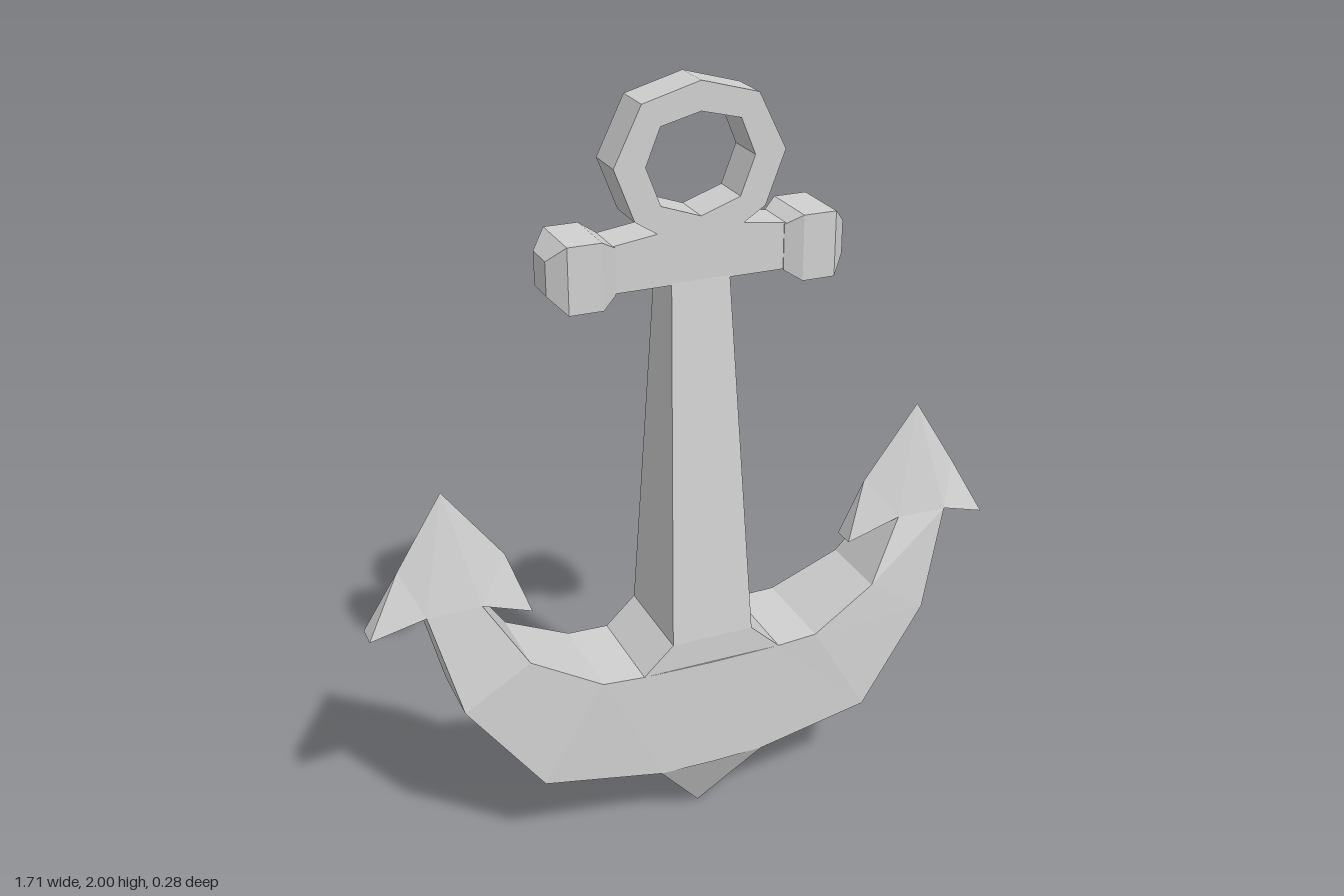
import * as THREE from 'three';

const iron = new THREE.MeshStandardMaterial({ color: 0xd0d0d0, flatShading: true });
iron.name = 'iron grey';

// Mesh from a list of polygons (each a convex loop, counter-clockwise from outside)
function polyMesh(name, polys) {
  const pos = [];
  for (const p of polys)
    for (let i = 1; i < p.length - 1; i++) pos.push(...p[0], ...p[i], ...p[i + 1]);
  const geo = new THREE.BufferGeometry();
  geo.setAttribute('position', new THREE.Float32BufferAttribute(pos, 3));
  geo.computeVertexNormals();
  const mesh = new THREE.Mesh(geo, iron);
  mesh.name = name;
  return mesh;
}

// Skin four-cornered sections and cap both ends
function loft(name, sections) {
  const polys = [[...sections[0]].reverse(), sections[sections.length - 1]];
  for (let s = 0; s < sections.length - 1; s++) {
    const a = sections[s], b = sections[s + 1];
    for (let i = 0; i < 4; i++) {
      const j = (i + 1) % 4;
      polys.push([a[i], a[j], b[j]], [a[i], b[j], b[i]]);
    }
  }
  return polyMesh(name, polys);
}

// Rectangle at height y with half width x and half depth z
const level = ([y, x, z]) => [[-x, y, z], [x, y, z], [x, y, -z], [-x, y, -z]];
// Section spanning an outer (lower) and an inner (upper) point, each with a half depth
const slice = ([ox, oy, od, ix, iy, id]) => [[ox, oy, -od], [ix, iy, -id], [ix, iy, id], [ox, oy, od]];

// Ring and crossbar share one flat outline
function makeHead() {
  const half = [[0, 2], [0.145, 1.96], [0.215, 1.82], [0.165, 1.69], [0.11, 1.655], [0.22, 1.64], [0.22, 1.525]];
  const hole = [[0, 1.93], [0.1, 1.905], [0.137, 1.815], [0.1, 1.72], [0, 1.685]];
  const mirrored = (pts) => [...pts, ...[...pts].reverse().filter((p) => p[0] > 0).map(([x, y]) => [-x, y])]
    .map(([x, y]) => new THREE.Vector2(x, y));
  const shape = new THREE.Shape(mirrored(half));
  // The hole runs against the outline so that its walls face inwards
  shape.holes.push(new THREE.Path(mirrored(hole).reverse()));
  const geo = new THREE.ExtrudeGeometry(shape, { depth: 0.11, bevelEnabled: false }).translate(0, 0, -0.055);
  const mesh = new THREE.Mesh(geo, iron);
  mesh.name = 'ringAndCrossbar';
  return mesh;
}

// Barbed arrowhead that continues the end of the arm to a sharp tip
function makeFluke() {
  const rim = [[0.72, 0.77, 0.058], [0.857, 0.72, 0.03], [0.77, 0.88, 0], [0.65, 1.07, 0],
    [0.5, 0.87, 0], [0.445, 0.71, 0.03], [0.58, 0.77, 0.055]];
  const back = ([x, y, z]) => [x, y, -z];
  const polys = [];
  for (const face of [[0, 1, 2], [0, 2, 3], [6, 0, 3], [6, 3, 4], [6, 4, 5]]) {
    const front = face.map((i) => rim[i]);
    polys.push(front, front.map(back).reverse());
  }
  // Undersides of the two barbs
  for (const i of [0, 1, 4, 5]) polys.push([rim[i], back(rim[i]), back(rim[i + 1]), rim[i + 1]]);
  return polyMesh('fluke', polys);
}

export function createModel() {
  const group = new THREE.Group();
  group.name = 'anchor';

  // Pointed foot, crown and tapering shank
  group.add(loft('shankAndCrown', [
    [0, 0, 0.04], [0.195, 0.145, 0.136], [0.51, 0.19, 0.136], [0.585, 0.11, 0.136], [1.53, 0.075, 0.055],
  ].map(level)));
  group.add(makeHead());

  // Each side is the other turned half way round
  for (const name of ['left', 'right']) {
    const side = new THREE.Group();
    side.name = name + 'Side';
    side.add(loft('arm', [
      [0, 0.195, 0.14, 0, 0.51, 0.14],
      [0.145, 0.195, 0.136, 0.19, 0.51, 0.136],
      [0.46, 0.245, 0.12, 0.3, 0.515, 0.132],
      [0.65, 0.495, 0.089, 0.48, 0.61, 0.105],
      [0.72, 0.77, 0.058, 0.58, 0.77, 0.055],
    ].map(slice)));
    side.add(makeFluke());
    side.add(loft('crossbarKnob', [[0.215, 0.057], [0.255, 0.082], [0.34, 0.082], [0.38, 0.042]]
      .map(([x, r]) => slice([x, 1.58 - r, r, x, 1.58 + r, r]))));
    if (name === 'right') side.rotation.y = Math.PI;
    group.add(side);
  }
  return group;
}
